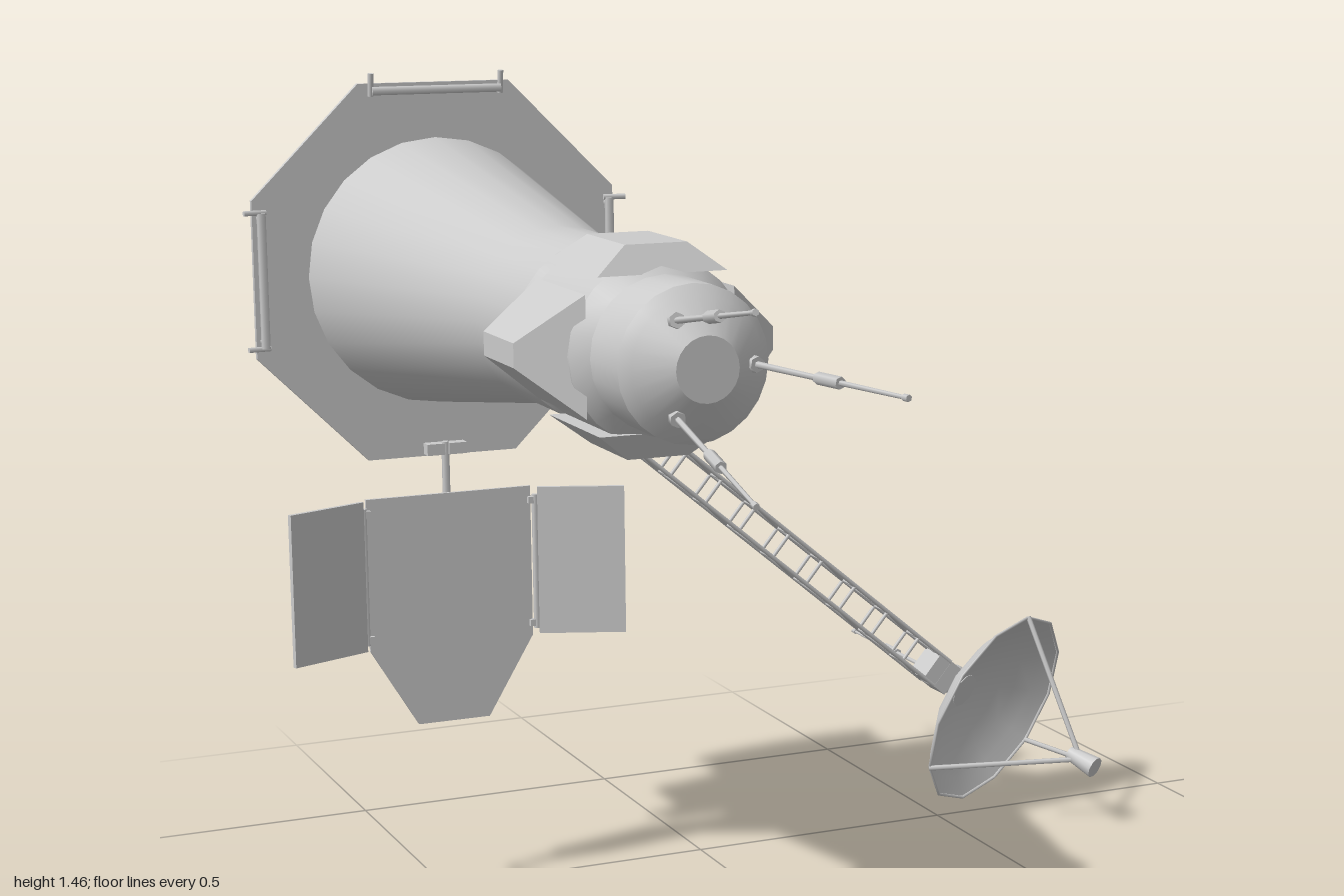
import * as THREE from 'three';
import { toCreasedNormals } from 'three/addons/utils/BufferGeometryUtils.js';
import { ConvexGeometry } from 'three/addons/geometries/ConvexGeometry.js';

const smooth = new THREE.MeshStandardMaterial({ color: 0xcccccc });
const flat = new THREE.MeshStandardMaterial({ color: 0xcccccc, flatShading: true });
const thin = new THREE.MeshStandardMaterial({ color: 0xcccccc, side: THREE.DoubleSide });
const V = (x, y, z) => new THREE.Vector3(x, y, z);

function add(parent, name, geometry, material = flat) {
  const mesh = new THREE.Mesh(geometry, material);
  mesh.name = name;
  parent.add(mesh);
  return mesh;
}

function group(parent, name) {
  const g = new THREE.Group();
  g.name = name;
  parent.add(g);
  return g;
}

function box(parent, name, w, h, d, x, y, z) {
  const mesh = add(parent, name, new THREE.BoxGeometry(w, h, d));
  mesh.position.set(x, y, z);
  return mesh;
}

// Round bar between two points
function rod(parent, name, a, b, r0, r1 = r0, sides = 6) {
  const dir = b.clone().sub(a);
  const mesh = add(parent, name, new THREE.CylinderGeometry(r1, r0, dir.length(), sides), smooth);
  mesh.position.copy(a).addScaledVector(dir, 0.5);
  mesh.quaternion.setFromUnitVectors(V(0, 1, 0), dir.normalize());
  return mesh;
}

// Whip antenna: base socket, thin rod, thicker coil and tip
function whip(parent, name, a, b) {
  const g = group(parent, name);
  const at = t => a.clone().lerp(b, t);
  rod(g, 'whipSocket', at(0), at(0.08), 0.012);
  rod(g, 'whipRod', at(0), b, 0.005, 0.003);
  rod(g, 'whipCoil', at(0.46), at(0.6), 0.009);
  rod(g, 'whipTip', at(0.97), b, 0.005);
}

// Surface of revolution about z, profile given as [radius, z] with z rising
function turned(parent, name, profile) {
  const g = new THREE.LatheGeometry(profile.map(p => new THREE.Vector2(...p)), 24);
  g.rotateX(Math.PI / 2);
  return add(parent, name, toCreasedNormals(g, 0.45), smooth);
}

// Eight-sided slab with its flats facing up, down and sideways
function octagon(parent, name, apothem, z0, z1) {
  const r = apothem / Math.cos(Math.PI / 8);
  const g = new THREE.CylinderGeometry(r, r, z1 - z0, 8, 1, false, Math.PI / 8);
  g.rotateX(Math.PI / 2);
  add(parent, name, g).position.z = (z0 + z1) / 2;
}

// Tapered block standing out from the neck along +x
function fin(parent, name, angle, base, tip) {
  const pts = [];
  for (const [r, w, z0, z1] of [base, tip])
    for (const s of [-1, 1]) pts.push(V(r, s * w, z0), V(r, s * w, z1));
  add(parent, name, new ConvexGeometry(pts)).rotation.z = angle;
}

function buildBody(root) {
  const body = group(root, 'body');
  body.position.set(-0.475, 1.12, 0);
  turned(body, 'hull', [
    [0, -0.53], [0.232, -0.53], [0.14, 0.08], [0.14, 0.265], [0.13, 0.275],
    [0.13, 0.285], [0.138, 0.3], [0.138, 0.49], [0.115, 0.515], [0.115, 0.62],
    [0.1, 0.635], [0.048, 0.672], [0, 0.672]]);
  turned(body, 'engine', [
    [0, -0.822], [0.165, -0.822], [0.165, -0.795], [0.152, -0.785], [0.152, -0.765],
    [0.165, -0.75], [0.165, -0.738], [0.152, -0.725], [0.152, -0.67], [0, -0.67]]);
  octagon(body, 'serviceBlock', 0.272, -0.678, -0.53);
  octagon(body, 'mountingPlate', 0.326, -0.536, -0.526);

  for (let i = 0; i < 4; i++) {
    if (i % 2) fin(body, 'neckBlock', i * Math.PI / 2, [0.115, 0.1, 0.3, 0.51], [0.156, 0.048, 0.335, 0.485]);
    else fin(body, 'sideFin', i * Math.PI / 2, [0.115, 0.09, 0.3, 0.5], [0.203, 0.018, 0.31, 0.44]);
  }

  // Nose antennas
  for (let i = 0; i < 3; i++) {
    const a = i * Math.PI * 2 / 3, c = Math.cos(a), s = Math.sin(a);
    whip(body, 'noseAntenna', V(0.075 * c, 0.075 * s, 0.63), V(0.146 * c, 0.146 * s, 1));
  }

  // Handrails on three edges of the plate
  for (let i = 0; i < 3; i++) {
    const rail = group(body, 'handrail');
    rail.rotation.z = i * Math.PI / 2;
    rod(rail, 'railBar', V(0.314, -0.115, -0.511), V(0.314, 0.115, -0.511), 0.008);
    for (const s of [-1, 1]) {
      rod(rail, 'railPost', V(0.314, s * 0.105, -0.53), V(0.314, s * 0.105, -0.511), 0.006);
      rod(rail, 'railEnd', V(0.305, s * 0.116, -0.515), V(0.344, s * 0.116, -0.51), 0.005);
    }
  }
}

function buildPanel(root) {
  const panel = group(root, 'solarPanel');
  panel.position.set(-0.475, 0, -0.505);
  const shape = new THREE.Shape([[-0.151, 0.73], [-0.151, 0.457], [-0.066, 0.315],
    [0.066, 0.315], [0.151, 0.457], [0.151, 0.73]].map(p => new THREE.Vector2(...p)));
  add(panel, 'centrePanel', new THREE.ExtrudeGeometry(shape, { depth: 0.006, bevelEnabled: false }));

  // Frame on the back, post and clamp
  for (const x of [-0.142, 0, 0.142]) box(panel, 'frameUpright', 0.012, 0.265, 0.012, x, 0.595, -0.006);
  for (const y of [0.72, 0.595, 0.468]) box(panel, 'frameCrossbar', 0.29, 0.012, 0.012, 0, y, -0.006);
  rod(panel, 'post', V(0, 0.6, -0.008), V(0, 0.82, -0.008), 0.007);
  for (const s of [-1, 1]) {
    box(panel, 'postClamp', 0.032, 0.02, 0.022, s * 0.02, 0.808, -0.008);
    // Folded side wing with its hinge
    box(panel, 'sideWing', 0.155, 0.268, 0.008, s * 0.233, 0.595, 0.043).rotation.y = -s * 0.37;
    rod(panel, 'hingeBar', V(s * 0.158, 0.47, 0.01), V(s * 0.158, 0.715, 0.01), 0.006);
    for (const y of [0.48, 0.705]) box(panel, 'hingeTab', 0.024, 0.012, 0.012, s * 0.157, y, 0.008);
  }
}

function buildBoom(root) {
  const boom = group(root, 'boom');
  const a = V(-0.28, 0.962, -0.608), b = V(0.55, 0.265, -0.608);
  const length = a.distanceTo(b), bays = 12, h = 0.028;
  boom.position.copy(a);
  boom.rotation.z = Math.atan2(b.y - a.y, b.x - a.x);

  // Four long rails, straight rungs front and back, zigzags above and below
  for (const y of [-h, h])
    for (const z of [-h, h]) rod(boom, 'longRail', V(0, y, z), V(length, y, z), 0.0045);
  for (let i = 0; i <= bays; i++) {
    const x = i * length / bays, x2 = (i + 1) * length / bays;
    for (const s of [-h, h]) {
      rod(boom, 'rung', V(x, -h, s), V(x, h, s), 0.0035);
      rod(boom, 'crossRung', V(x, s, -h), V(x, s, h), 0.0035);
      const z = (i % 2 ? 1 : -1) * s;
      if (i < bays) rod(boom, 'diagonal', V(x, s, -z), V(x2, s, z), 0.0035);
    }
  }
  box(boom, 'rootBracket', 0.06, 0.075, 0.085, 0.03, 0, 0);
  box(boom, 'endBracket', 0.06, 0.06, 0.062, length, 0, 0);
  whip(root, 'rearAntenna', V(0.56, 0.255, -0.62), V(0.56, 0.255, -1));
}

function buildDish(root) {
  const dish = group(root, 'dish');
  const n = V(0.44, -0.32, 0.84).normalize();
  const u = V(0.044, 0.193, 0.05);
  u.addScaledVector(n, -u.dot(n)).normalize();
  // Local +y is the direction the dish points
  dish.quaternion.setFromRotationMatrix(new THREE.Matrix4().makeBasis(u, n, u.clone().cross(n)));
  dish.position.set(0.638, 0.198, -0.525);

  const R = 0.203, depth = 0.08, profile = [];
  for (let i = 0; i <= 6; i++) {
    const t = i / 6;
    profile.push(new THREE.Vector2(R * t, depth * (t * t - 1)));
  }
  add(dish, 'reflector', new THREE.LatheGeometry(profile, 12), thin);
  const rim = add(dish, 'rim', new THREE.TorusGeometry(R - 0.002, 0.003, 5, 12), smooth);
  rim.rotation.x = Math.PI / 2;

  // Feed horn on three struts
  for (let i = 0; i < 3; i++) {
    const a = i * Math.PI * 2 / 3;
    rod(dish, 'feedStrut', V(R * Math.cos(a), 0, R * Math.sin(a)), V(0, 0.21, 0), 0.005);
  }
  rod(dish, 'feedHorn', V(0, 0.185, 0), V(0, 0.245, 0), 0.014, 0.021, 10);
  rod(dish, 'dishSocket', V(0, -depth - 0.03, 0), V(0, -depth + 0.004, 0), 0.022, 0.035, 10);
  const joint = add(root, 'dishJoint', new THREE.SphereGeometry(0.03, 12, 8), smooth);
  joint.position.set(0.588, 0.243, -0.607);
}

export function createModel() {
  const root = new THREE.Group();
  root.name = 'spaceProbe';
  buildBody(root);
  buildPanel(root);
  buildBoom(root);
  buildDish(root);
  return root;
}
